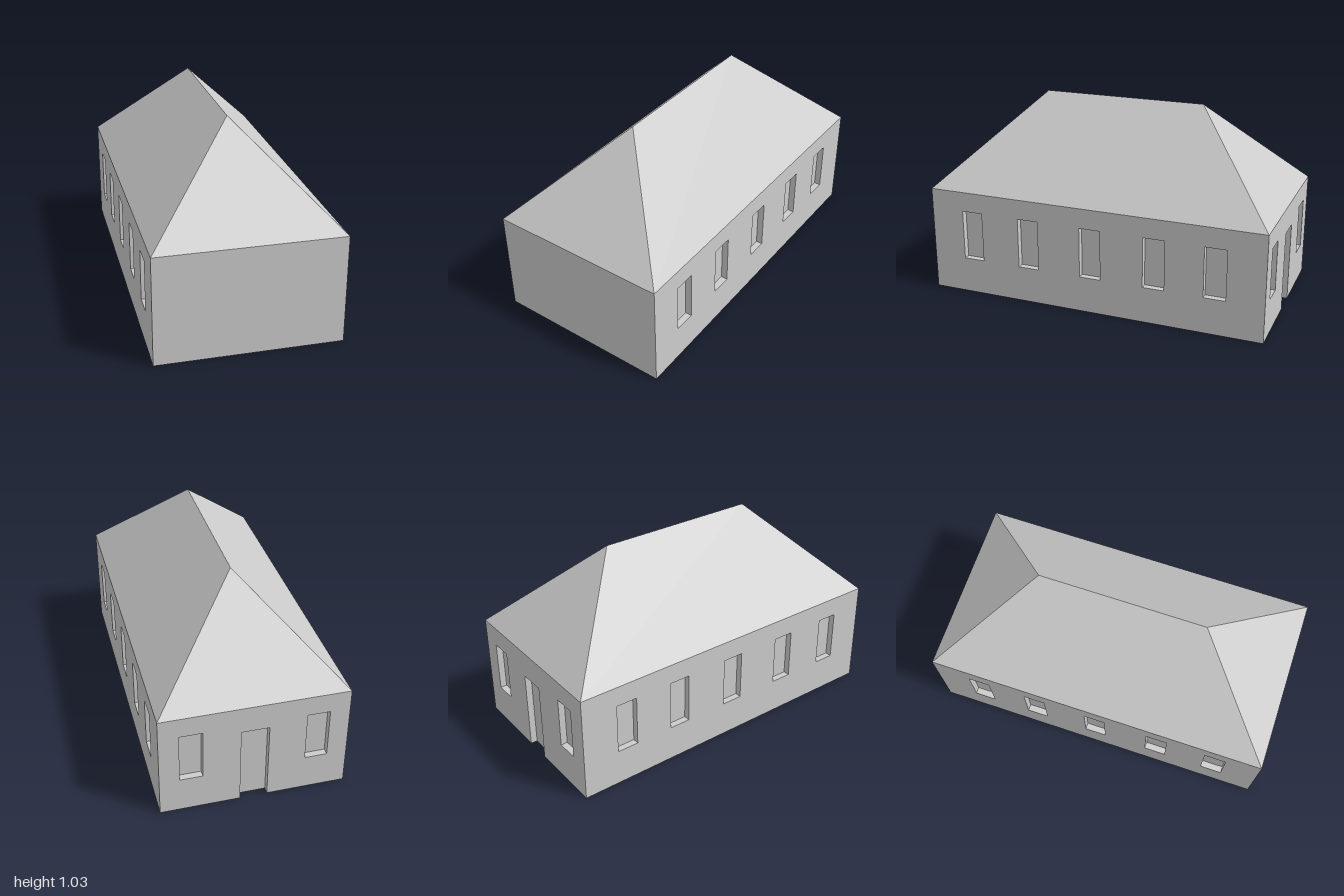
import * as THREE from 'three';

const L = 0.906, W = 0.468, H = 0.56;      // half length, half width, wall height
const RIDGE = 0.434, TOP = 1.03, DEPTH = 0.034;
const DOOR = { x: 0, w: 0.138, y0: 0, y1: 0.42 };
const windowAt = (x) => ({ x, w: 0.113, y0: 0.19, y1: 0.455 });

const gray = new THREE.MeshStandardMaterial({ color: 0xcccccc });
gray.name = 'plainGray';

function addMesh(parent, name, geometry) {
  const mesh = new THREE.Mesh(geometry, gray);
  mesh.name = name;
  parent.add(mesh);
  return mesh;
}

const outline = (pts) => pts.map(([x, y]) => new THREE.Vector2(x, y));

// Inward-facing niche, open at the front and, for a door, at the bottom
function recess({ w, y0, y1 }) {
  const geo = new THREE.BoxGeometry(w, y1 - y0, DEPTH);
  geo.scale(1, 1, -1);
  const idx = Array.from(geo.index.array);
  geo.setIndex([...idx.slice(0, 18), ...(y0 > 0 ? idx.slice(18, 24) : []), ...idx.slice(24, 30)]);
  geo.clearGroups();
  geo.computeVertexNormals();
  return geo;
}

// One wall face with its openings; faces local +z at the given distance
function facade(name, half, distance, angle, openings) {
  const wall = new THREE.Group();
  wall.name = name;
  wall.rotation.y = angle;
  const pts = [[-half, 0]];
  const holes = [];
  for (const { x, w, y0, y1 } of openings) {
    const a = x - w / 2, b = x + w / 2;
    if (y0 === 0) pts.push([a, 0], [a, y1], [b, y1], [b, 0]);
    else holes.push(new THREE.Path(outline([[a, y0], [a, y1], [b, y1], [b, y0]])));
  }
  pts.push([half, 0], [half, H], [-half, H]);
  const shape = new THREE.Shape(outline(pts));
  shape.holes = holes;
  addMesh(wall, name + 'Face', new THREE.ShapeGeometry(shape)).position.z = distance;
  for (const o of openings) {
    const niche = addMesh(wall, o.y0 === 0 ? 'doorRecess' : 'windowRecess', recess(o));
    niche.position.set(o.x, (o.y0 + o.y1) / 2, distance - DEPTH / 2);
  }
  return wall;
}

// Hipped roof: two trapezoids and two triangles
function roofGeometry() {
  const a = [-L, H, W], b = [L, H, W], c = [L, H, -W], d = [-L, H, -W];
  const e = [-RIDGE, TOP, 0], f = [RIDGE, TOP, 0];
  const faces = [a, b, f, a, f, e, b, c, f, c, d, e, c, e, f, d, a, e];
  const geo = new THREE.BufferGeometry();
  geo.setAttribute('position', new THREE.Float32BufferAttribute(faces.flat(), 3));
  geo.computeVertexNormals();
  return geo;
}

export function createModel() {
  const model = new THREE.Group();
  model.name = 'house';
  const house = new THREE.Group();
  house.name = 'building';
  house.rotation.y = Math.atan2(0.784, 0.621);   // set diagonally on the plot
  model.add(house);

  // Walls
  const xs = [-0.669, -0.346, 0, 0.341, 0.656];
  house.add(
    facade('frontLongWall', L, W, 0, xs.map(windowAt)),
    facade('backLongWall', L, W, Math.PI, xs.map((x) => windowAt(-x))),
    facade('doorWall', W, L, Math.PI / 2, [windowAt(-0.312), DOOR, windowAt(0.312)]),
    facade('blankWall', W, L, -Math.PI / 2, []),
  );

  // Underside, notched at the doorway
  const n = DOOR.w / 2;
  const floor = new THREE.ShapeGeometry(new THREE.Shape(outline([
    [-L, -W], [L, -W], [L, -n], [L - DEPTH, -n], [L - DEPTH, n], [L, n], [L, W], [-L, W],
  ])));
  floor.rotateX(Math.PI / 2);
  addMesh(house, 'floor', floor);

  addMesh(house, 'hippedRoof', roofGeometry());
  return model;
}
